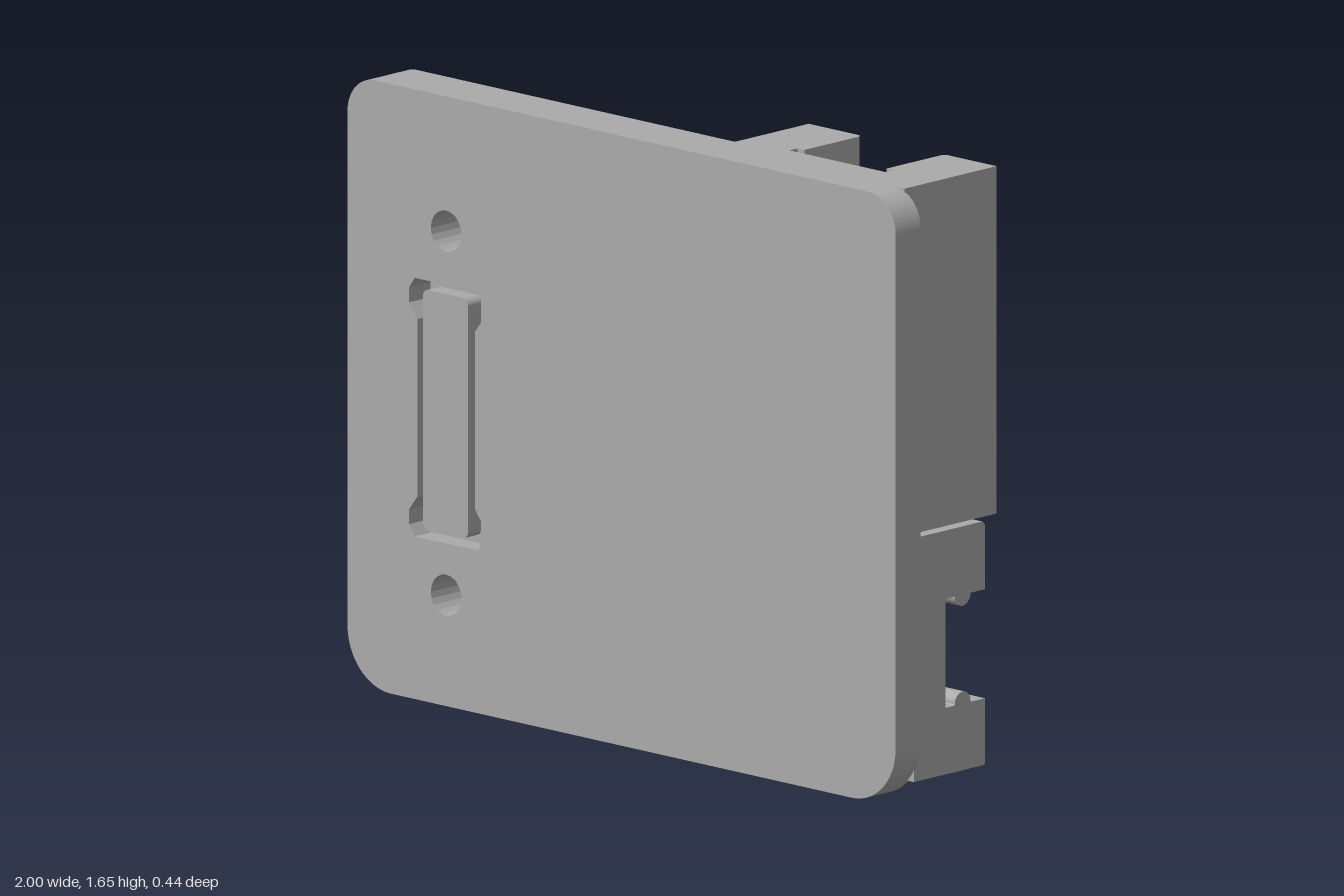
import * as THREE from 'three';

const gray = new THREE.MeshStandardMaterial({ color: 0xaaaaaa });
gray.name = 'plain gray';

const SLOT_X = -0.64;

function add(group, name, geometry) {
  const mesh = new THREE.Mesh(geometry, gray);
  mesh.name = name;
  group.add(mesh);
  return mesh;
}

function extrude(shape, depth, curveSegments = 10) {
  return new THREE.ExtrudeGeometry(shape, { depth, bevelEnabled: false, curveSegments });
}

function polygon(points, Type = THREE.Shape) {
  return new Type(points.map(([x, y]) => new THREE.Vector2(x, y)));
}

// Upright outline with large lower and smaller upper corner radii
function outline(x0, x1, y0, y1, low, high) {
  const s = new THREE.Shape();
  s.moveTo(x0 + low, y0);
  s.lineTo(x1 - low, y0);
  s.absarc(x1 - low, y0 + low, low, -Math.PI / 2, 0);
  s.lineTo(x1, y1 - high);
  s.absarc(x1 - high, y1 - high, high, 0, Math.PI / 2);
  s.lineTo(x0 + high, y1);
  s.absarc(x0 + high, y1 - high, high, Math.PI / 2, Math.PI);
  s.lineTo(x0, y0 + low);
  s.absarc(x0 + low, y0 + low, low, Math.PI, Math.PI * 1.5);
  return s;
}

// Two screw holes and the connector opening with widened ends
function connectorHoles() {
  const holes = [0.3, 1.285].map((y) => {
    const p = new THREE.Path();
    p.absarc(SLOT_X, y, 0.056, 0, Math.PI * 2);
    return p;
  });
  const half = [[0.105, 0.55], [0.135, 0.51], [0.135, 0.47], [0.115, 0.44]];
  const right = [...half.map(([x, y]) => [x, y]).reverse(),
    ...half.map(([x, y]) => [x, 1.58 - y])];
  const left = right.map(([x, y]) => [-x, y]).reverse();
  holes.push(polygon([...right, ...left].map(([x, y]) => [SLOT_X + x, y]), THREE.Path));
  return holes;
}

// Recess that wraps around the raised connector pad
function recess() {
  const p = new THREE.Path();
  p.moveTo(-0.49, 0.1);
  p.lineTo(-0.49, 1.29);
  p.absarc(SLOT_X, 1.29, 0.15, 0, Math.PI);
  p.lineTo(-0.79, 0.155);
  p.absarc(-0.845, 0.155, 0.055, 0, -Math.PI, true);
  p.lineTo(-0.9, 1.46);
  p.absarc(-0.81, 1.46, 0.09, Math.PI, Math.PI / 2, true);
  p.lineTo(0.9, 1.55);
  p.lineTo(0.9, 0.2);
  p.absarc(0.8, 0.2, 0.1, 0, -Math.PI / 2, true);
  p.lineTo(-0.49, 0.1);
  return p;
}

export function createModel() {
  const group = new THREE.Group();
  group.name = 'mountingPlate';

  // Front panel
  const panel = outline(-1, 1, 0, 1.65, 0.16, 0.1);
  panel.holes.push(...connectorHoles());
  add(group, 'frontPanel', extrude(panel, 0.095)).position.z = 0.125;

  // Rim and connector pad on the back
  const rim = outline(-1, 0.945, 0, 1.65, 0.16, 0.1);
  rim.holes.push(recess(), ...connectorHoles());
  add(group, 'rimAndPad', extrude(rim, 0.065)).position.z = 0.06;

  // Insert in the connector opening, held by a thin web
  const insert = outline(-0.725, -0.56, 0.465, 1.115, 0.02, 0.02);
  add(group, 'slotInsert', extrude(insert, 0.09)).position.z = 0.13;
  const web = new THREE.BoxGeometry(0.21, 0.68, 0.03);
  add(group, 'slotWeb', web).position.set(SLOT_X, 0.785, 0.155);

  // Pair of upright rails with an undercut channel, as one profile in x and -z
  const rails = polygon([
    [0.26, -0.13], [0.945, -0.13], [0.945, 0.22], [0.765, 0.22], [0.755, 0.21],
    [0.755, 0], [0.78, 0], [0.78, -0.03], [0.43, -0.03], [0.43, 0],
    [0.455, 0], [0.455, 0.21], [0.445, 0.22], [0.26, 0.22],
  ]);
  const railGeometry = extrude(rails, 0.94);
  railGeometry.rotateX(-Math.PI / 2);
  add(group, 'uprightRails', railGeometry).position.y = 0.71;

  // Cross clip with a round bead on each jaw, as one profile in -z and y
  const clip = new THREE.Shape();
  clip.moveTo(-0.13, 0.05);
  clip.lineTo(0.135, 0.05);
  clip.lineTo(0.14, 0.055);
  clip.lineTo(0.14, 0.23);
  clip.lineTo(0.087, 0.23);
  clip.absarc(0.055, 0.233, 0.03, 0, Math.PI);
  clip.lineTo(0.023, 0.23);
  clip.lineTo(-0.01, 0.23);
  clip.lineTo(-0.01, 0.525);
  clip.lineTo(0.023, 0.525);
  clip.absarc(0.055, 0.525, 0.03, Math.PI, Math.PI * 2);
  clip.lineTo(0.14, 0.525);
  clip.lineTo(0.14, 0.7);
  clip.lineTo(0.13, 0.71);
  clip.lineTo(-0.11, 0.71);
  clip.lineTo(-0.13, 0.69);
  const clipGeometry = extrude(clip, 0.95);
  clipGeometry.rotateY(Math.PI / 2);
  add(group, 'crossClip', clipGeometry).position.x = 0.03;

  return group;
}
